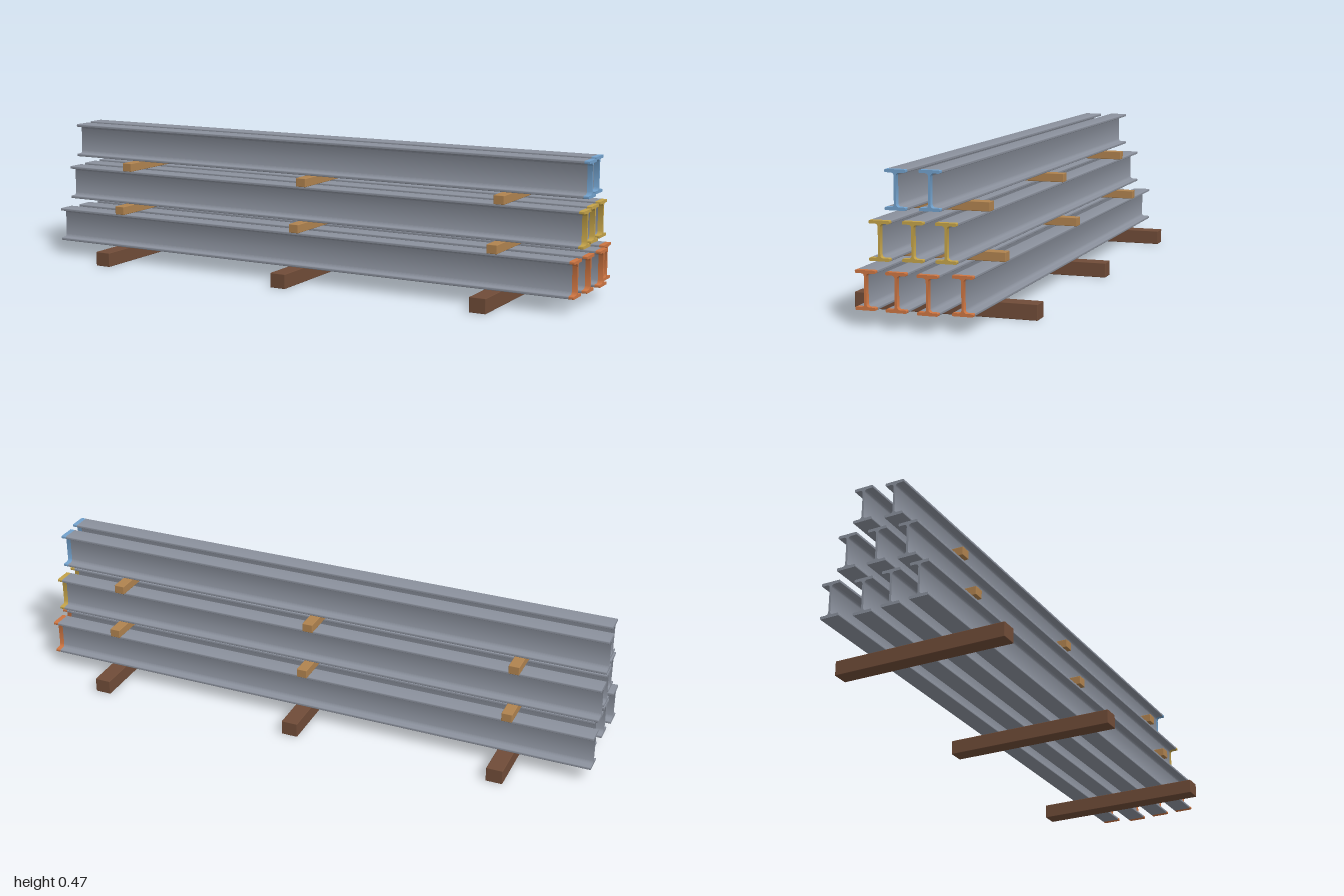
import * as THREE from 'three';
import { toCreasedNormals } from 'three/addons/utils/BufferGeometryUtils.js';
import { RoundedBoxGeometry } from 'three/addons/geometries/RoundedBoxGeometry.js';

const material = (name, color) => {
  const m = new THREE.MeshStandardMaterial({ color });
  m.name = name;
  return m;
};

const LENGTH = 1.976, BAND = 0.017; // beam length and painted end length
const HEIGHT = 0.1185, HALF = 0.032; // section height and half flange width
const FLANGE = 0.0095, WEB = 0.0035, EDGE = 0.003, FILLET = 0.009;

// I-section with rounded flange edges and filleted web, bottom at y = 0
function beamSection() {
  const s = new THREE.Shape();
  const P = Math.PI, H = HEIGHT, f = FLANGE, r = EDGE, q = FILLET, w = WEB;
  s.moveTo(-HALF + r, 0);
  s.absarc(HALF - r, r, r, -P / 2, 0, false);
  s.absarc(HALF - r, f - r, r, 0, P / 2, false);
  s.absarc(w + q, f + q, q, 1.5 * P, P, true);
  s.absarc(w + q, H - f - q, q, P, P / 2, true);
  s.absarc(HALF - r, H - f + r, r, -P / 2, 0, false);
  s.absarc(HALF - r, H - r, r, 0, P / 2, false);
  s.absarc(-HALF + r, H - r, r, P / 2, P, false);
  s.absarc(-HALF + r, H - f + r, r, P, 1.5 * P, false);
  s.absarc(-w - q, H - f - q, q, P / 2, 0, true);
  s.absarc(-w - q, f + q, q, 0, -P / 2, true);
  s.absarc(-HALF + r, f - r, r, P / 2, P, false);
  s.absarc(-HALF + r, r, r, P, 1.5 * P, false);
  return s;
}

// Section swept along +x from x = 0
function sweep(length) {
  const g = new THREE.ExtrudeGeometry(beamSection(), { depth: length, bevelEnabled: false, curveSegments: 4 });
  g.rotateY(Math.PI / 2);
  return toCreasedNormals(g, 0.6);
}

export function createModel() {
  const steel = material('steel', 0x8b919d);
  const orange = material('orangePaint', 0xcd7542);
  const yellow = material('yellowPaint', 0xc4a349);
  const blue = material('bluePaint', 0x72a1cc);
  const lightWood = material('lightWood', 0xb0834f);
  const darkWood = material('darkWood', 0x704c38);

  const model = new THREE.Group();
  model.name = 'beamStack';
  const bodyGeo = sweep(LENGTH - BAND), bandGeo = sweep(BAND);

  const add = (parent, name, geo, mat, x, y, z) => {
    const m = new THREE.Mesh(geo, mat);
    m.name = name;
    m.position.set(x, y, z);
    parent.add(m);
  };

  // Each tier: paint, base height and [z, start x] of every beam
  const tiers = [
    ['bottom', orange, 0.0495, [[0.149, -0.99], [0.05, -0.984], [-0.05, -0.977], [-0.149, -1]]],
    ['middle', yellow, 0.1985, [[0.099, -0.981], [0, -0.992], [-0.099, -1]]],
    ['top', blue, 0.3475, [[0.05, -0.986], [-0.05, -1]]],
  ];
  for (const [tier, paint, y, beams] of tiers) {
    for (const [z, x] of beams) {
      const beam = new THREE.Group();
      beam.name = tier + 'Beam';
      add(beam, 'beamBody', bodyGeo, steel, 0, 0, 0);
      add(beam, 'paintedEnd', bandGeo, paint, LENGTH - BAND, 0, 0);
      beam.position.set(x, y, z);
      model.add(beam);
    }
  }

  // Timbers under each tier: name, wood, base y, height, width, length
  const timbers = [
    ['groundTimber', darkWood, 0, 0.0495, 0.056, 0.593],
    ['lowerSpacer', lightWood, 0.1685, 0.0295, 0.036, 0.385],
    ['upperSpacer', lightWood, 0.3175, 0.0295, 0.036, 0.287],
  ];
  for (const [name, wood, y, h, w, l] of timbers) {
    const geo = new RoundedBoxGeometry(w, h, l, 2, 0.002);
    for (const x of [-0.717, 0, 0.717]) add(model, name, geo, wood, x, y + h / 2, 0);
  }
  return model;
}
